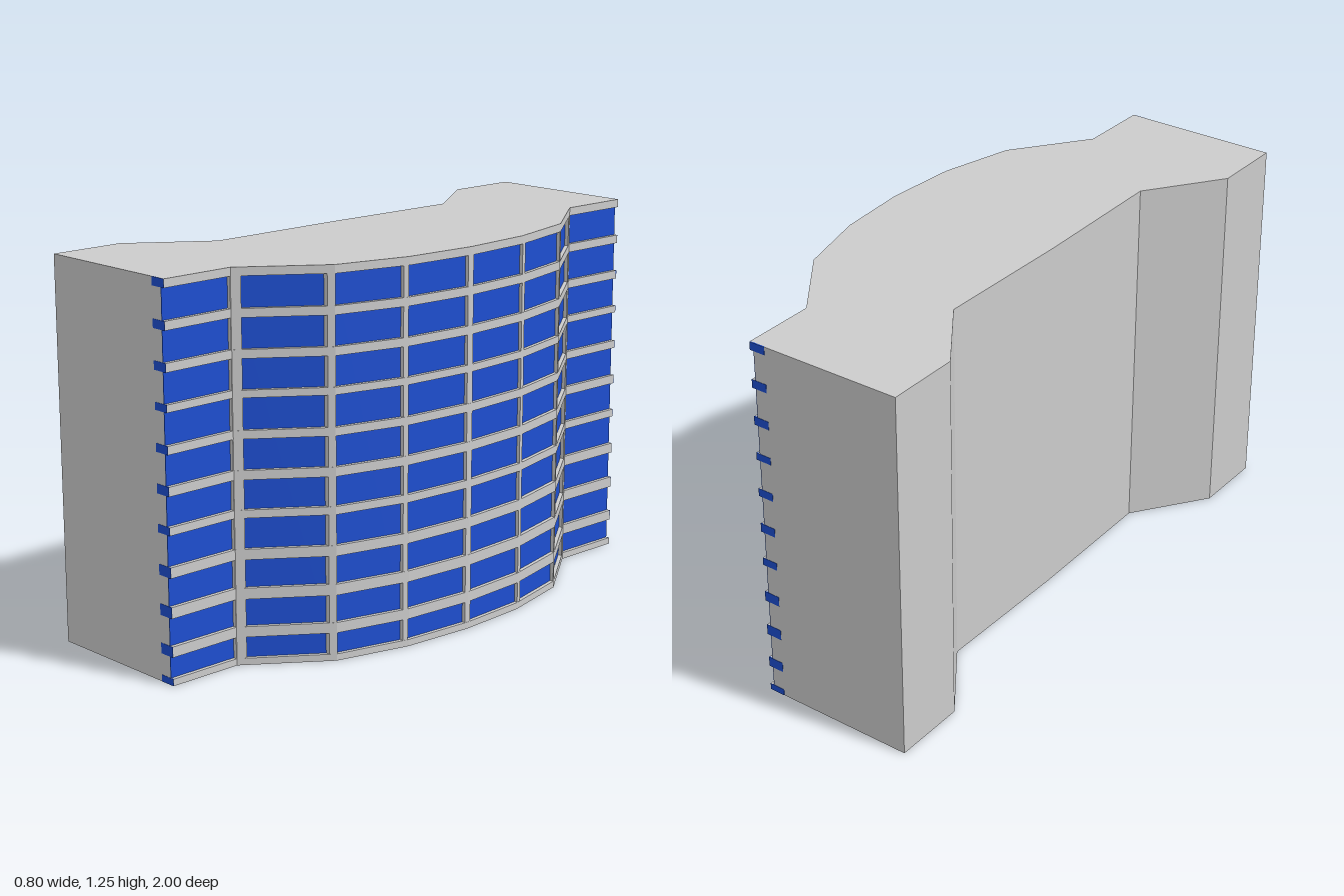
import * as THREE from 'three';

const HEIGHT = 1.25, DEPTH = 0.013;
const grey = new THREE.MeshStandardMaterial({ color: 0xcccccc, flatShading: true });
const blue = new THREE.MeshStandardMaterial({ color: 0x1d4ed0, flatShading: true });

// Curved facade in plan, as [x, z] from the -z end to the +z end
const half = [[0.135, 1], [0.135, 0.75], [0.318, 0.5], [0.381, 0.25]];
const facade = [...half.map(([x, z]) => [x, -z]), [0.398, 0], ...half.slice().reverse()];
const rear = [[-0.398, 1], [-0.398, 0.75], [-0.22, 0.5], [-0.227, 0], [-0.22, -0.5], [-0.398, -0.75], [-0.398, -1]];

// Facade line moved inwards by d, with mitred corners
function inset(d) {
  const normal = (a, b) => new THREE.Vector2(b[1] - a[1], a[0] - b[0]).normalize();
  return facade.map((p, i) => {
    const n1 = normal(facade[Math.max(i - 1, 0)], facade[Math.max(i, 1)]);
    const last = facade.length - 1;
    const n2 = normal(facade[Math.min(i, last - 1)], facade[Math.min(i + 1, last)]);
    const m = n1.clone().add(n2).normalize();
    const k = d / m.dot(n1);
    return [p[0] - m.x * k, p[1] - m.y * k];
  });
}

// Part of a plan line between two z values
function clip(line, z0, z1) {
  const at = (z) => {
    let i = 1;
    while (i < line.length - 1 && line[i][1] < z) i++;
    const [a, b] = [line[i - 1], line[i]];
    return [a[0] + (b[0] - a[0]) * (z - a[1]) / (b[1] - a[1]), z];
  };
  return [at(z0), ...line.filter((p) => p[1] > z0 + 1e-4 && p[1] < z1 - 1e-4), at(z1)];
}

// Upright prism over a plan outline
function prism(name, outline, y0, y1, material) {
  const shape = new THREE.Shape(outline.map(([x, z]) => new THREE.Vector2(x, -z)));
  const geo = new THREE.ExtrudeGeometry(shape, { depth: y1 - y0, bevelEnabled: false });
  geo.rotateX(-Math.PI / 2).translate(0, y0, 0);
  const mesh = new THREE.Mesh(geo, material);
  mesh.name = name;
  return mesh;
}

// Strip that follows the facade between two depths
function strip(name, outer, inner, z0, z1, y0, y1, material) {
  const outline = [...clip(inset(outer), z0, z1), ...clip(inset(inner), z0, z1).reverse()];
  return prism(name, outline, y0, y1, material);
}

export function createModel() {
  const model = new THREE.Group();
  model.name = 'curvedOfficeBuilding';

  // Solid body behind the glass
  model.add(prism('body', [...inset(DEPTH + 0.002), ...rear], 0, HEIGHT, grey));
  model.add(strip('glass', DEPTH, DEPTH + 0.002, -1, 1, 0.01, HEIGHT - 0.01, blue));

  // Floor ledges with coloured ends let into the side walls
  const ledges = new THREE.Group();
  ledges.name = 'floorLedges';
  const thickness = [0.022, 0.034, 0.036, 0.034, 0.026, 0.03, 0.027, 0.024, 0.028, 0.028, 0.027];
  thickness.forEach((t, i) => {
    const top = i === 0 ? t : i * 0.125;
    ledges.add(strip('floorLedge', 0, DEPTH + 0.002, -1, 1, top - t, top, grey));
    for (const side of [-1, 1]) {
      const end = new THREE.Mesh(new THREE.BoxGeometry(0.055, t, 0.004), blue);
      end.name = 'ledgeEnd';
      end.position.set(0.1075, top - t / 2, side * 0.999);
      ledges.add(end);
    }
  });
  model.add(ledges);

  // Vertical mullions at the facade corners
  const mullions = new THREE.Group();
  mullions.name = 'mullions';
  const addMullion = (z0, z1) =>
    mullions.add(strip('mullion', 0.0005, DEPTH + 0.002, z0, z1, 0.001, HEIGHT - 0.001, grey));
  addMullion(-0.012, 0.012);
  for (const [a, b] of [[0.253, 0.27], [0.498, 0.518], [0.725, 0.752]]) {
    addMullion(a, b);
    addMullion(-b, -a);
  }
  model.add(mullions);

  return model;
}
